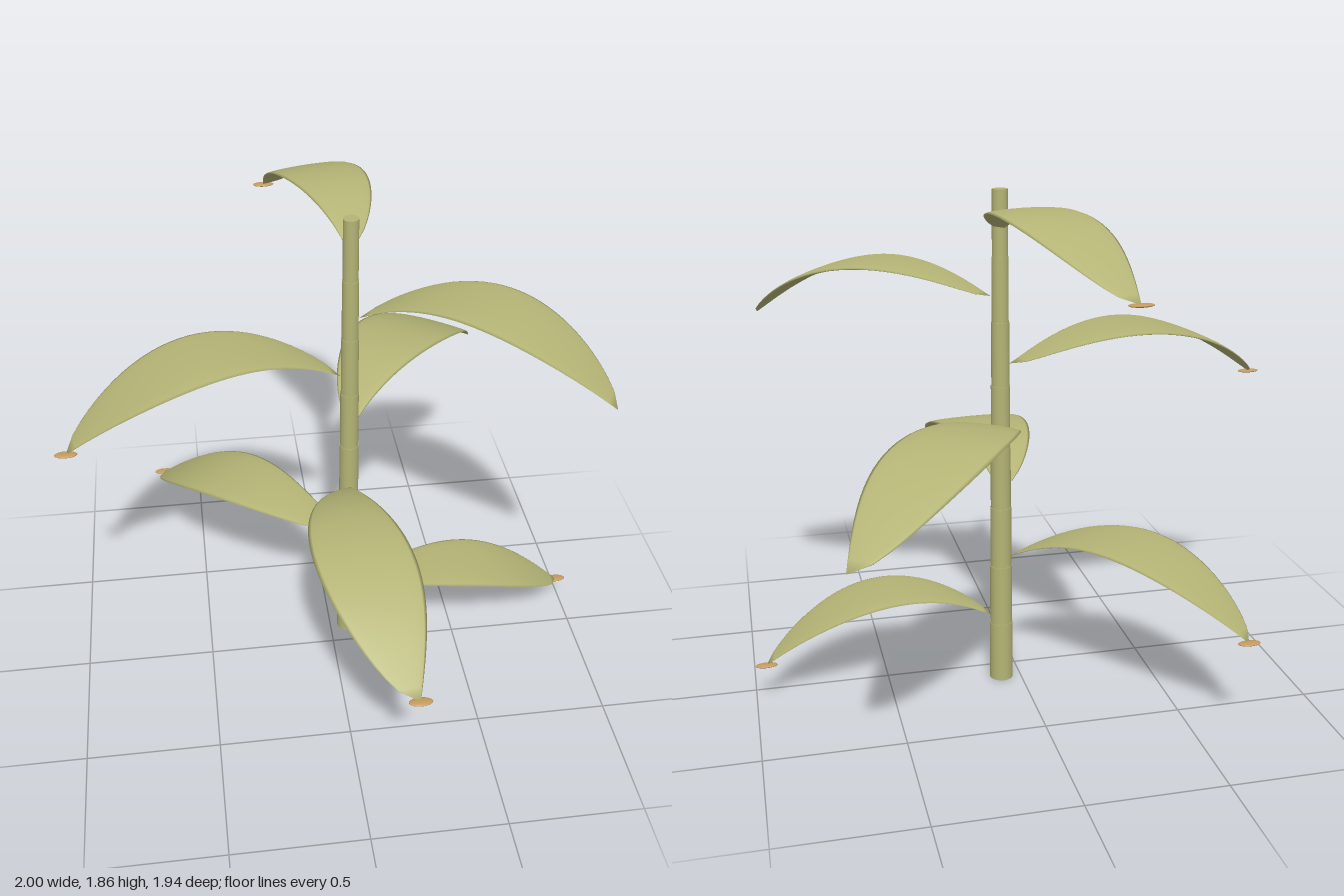
import * as THREE from 'three';
import { mergeVertices } from 'three/addons/utils/BufferGeometryUtils.js';

const green = new THREE.MeshStandardMaterial({ color: 0xb4b476 });
green.name = 'leafGreen';
const tan = new THREE.MeshStandardMaterial({ color: 0xc49a5c });
tan.name = 'tipTan';

const STEM_HEIGHT = 1.86, SEGMENTS = 8, LEAVES = 7;
const START = 0.035; // distance of a leaf base from the stem axis

// Thin lens-shaped blade along +x that arches, droops and bulges towards one side (+z or -z)
function leafGeometry(length, side) {
  const geo = new THREE.CylinderGeometry(1, 1, 1, 16, 28, true);
  geo.deleteAttribute('uv');
  geo.deleteAttribute('normal');
  const pos = geo.attributes.position;
  const half = 0.175 * length;
  for (let i = 0; i < pos.count; i++) {
    const t = THREE.MathUtils.clamp(pos.getY(i) + 0.5, 0, 1);
    const across = pos.getX(i), through = pos.getZ(i);
    const bulge = Math.max(0, Math.sin(Math.PI * t));
    const wide = (half + 0.08) * Math.pow(bulge, 0.6);
    const narrow = (half - 0.08) * Math.max(0, Math.sin(Math.PI * Math.pow(t, 1.4)));
    const z = THREE.MathUtils.lerp(-narrow, wide, (side * across + 1) / 2);
    const y = length * (0.61 * t - 0.74 * t * t) + (0.011 * through - 0.006) * Math.sqrt(bulge);
    pos.setXYZ(i, START + t * length, y, side * z);
  }
  const merged = mergeVertices(geo);
  merged.computeVertexNormals();
  return merged;
}

export function createModel() {
  const plant = new THREE.Group();
  plant.name = 'plant';

  // Tapered stem, one short cylinder per internode with a small step at each joint
  const stem = new THREE.Group();
  stem.name = 'stem';
  const h = STEM_HEIGHT / SEGMENTS;
  const radius = (k) => 0.045 - 0.018 * k / SEGMENTS;
  for (let i = 0; i < SEGMENTS; i++) {
    const part = new THREE.Mesh(new THREE.CylinderGeometry(radius(i + 1) + 0.001, radius(i) - 0.001, h, 20), green);
    part.name = 'stemSegment' + (i + 1);
    part.position.y = (i + 0.5) * h;
    stem.add(part);
  }
  plant.add(stem);

  // Leaves spiral up the stem by the golden angle, longest in the middle, bulging to alternate sides
  for (let i = 0; i < LEAVES; i++) {
    const angle = THREE.MathUtils.degToRad(137.5 * i);
    const length = 0.85 + 0.187 * Math.sin(Math.PI * i / (LEAVES - 1));
    const baseY = 0.26 + 0.245 * i;
    const leaf = new THREE.Mesh(leafGeometry(length, i % 2 ? -1 : 1), green);
    leaf.name = 'leaf' + (i + 1);
    leaf.rotation.y = angle;
    leaf.position.y = baseY;
    plant.add(leaf);

    // Flat dry tip, missing on two of the leaves
    if (i === 3 || i === 5) continue;
    const tip = new THREE.Mesh(new THREE.SphereGeometry(1, 16, 10), tan);
    tip.name = 'leafTip' + (i + 1);
    tip.scale.set(0.041, 0.006, 0.02);
    const reach = START + length;
    tip.position.set(Math.cos(angle) * reach, baseY - 0.13 * length, -Math.sin(angle) * reach);
    plant.add(tip);
  }

  plant.position.set(0.073, 0, -0.096);
  const model = new THREE.Group();
  model.name = 'leafyPlant';
  model.add(plant);
  return model;
}
